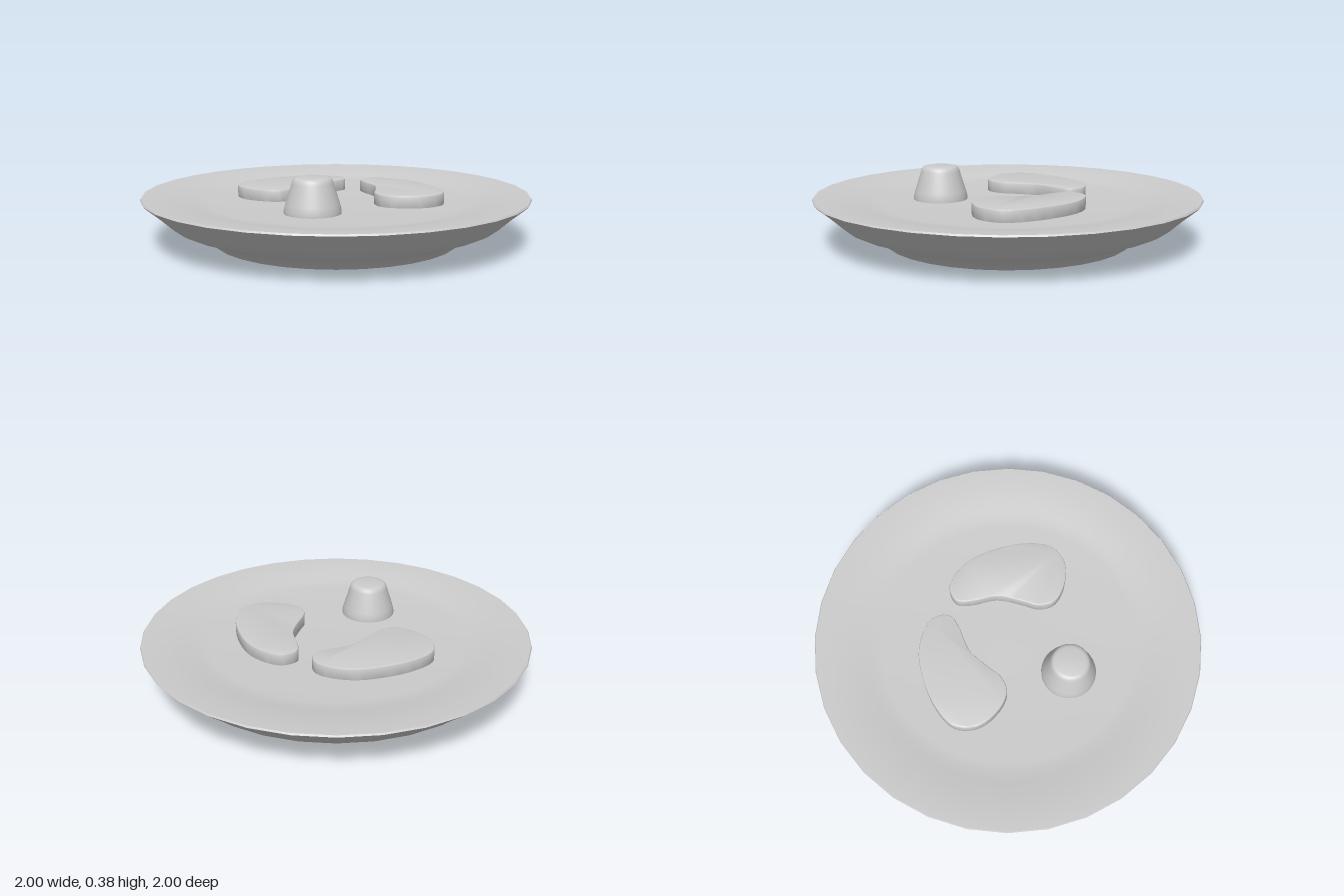
import * as THREE from 'three';
import { toCreasedNormals } from 'three/addons/utils/BufferGeometryUtils.js';

const FLOOR = 0.205;
const material = new THREE.MeshStandardMaterial({ color: 0xcccccc });

function part(name, geometry, crease = 0.7) {
  const mesh = new THREE.Mesh(toCreasedNormals(geometry, crease), material);
  mesh.name = name;
  return mesh;
}

// Turned solid from [radius, height] pairs, listed from the bottom up
function turned(profile, segments) {
  return new THREE.LatheGeometry(profile.map(([r, y]) => new THREE.Vector2(r, y)), segments);
}

// Thin curved slice with a softened edge, from an outline of [x, z] pairs
function slice(name, outline, side) {
  const curve = new THREE.CatmullRomCurve3(
    outline.map(([x, z]) => new THREE.Vector3(x * side, -z, 0)), true);
  const points = curve.getPoints(64).slice(0, -1).map((p) => new THREE.Vector2(p.x, p.y));
  const geometry = new THREE.ExtrudeGeometry(new THREE.Shape(points), {
    depth: 0.055, bevelThickness: 0.008, bevelSize: 0.008, bevelOffset: -0.008, bevelSegments: 2,
  });
  geometry.rotateX(-Math.PI / 2);
  const mesh = part(name, geometry);
  mesh.position.y = FLOOR - 0.001;
  return mesh;
}

export function createModel() {
  const model = new THREE.Group();

  // Plate: flat foot, stepped underside, flared rim and shallow well
  const plate = part('plate', turned([
    [0, 0], [0.637, 0], [0.65, 0.012], [0.69, 0.042], [0.75, 0.073], [0.83, 0.1],
    [0.855, 0.113], [0.92, 0.172], [0.985, 0.226], [1, 0.24], [0.995, 0.248], [0.975, 0.247],
    [0.9, 0.241], [0.82, 0.23], [0.75, 0.217], [0.7, 0.208], [0.66, FLOOR], [0, FLOOR],
  ], 32));
  plate.rotation.y = Math.PI / 32;
  plate.scale.set(1.004, 1, 1.004);
  model.add(plate);

  // Two kidney-shaped slices, nearly mirrored
  const outline = [
    [0.16, -0.4], [0.085, -0.385], [0.043, -0.32], [0.075, -0.25], [0.162, -0.14], [0.197, 0],
    [0.21, 0.07], [0.26, 0.135], [0.353, 0.15], [0.49, 0.1], [0.552, -0.01], [0.505, -0.15],
    [0.385, -0.295], [0.28, -0.37],
  ];
  model.add(slice('rightSlice', outline, -1));
  const leftSlice = slice('leftSlice', outline, 1);
  leftSlice.rotation.y = 0.03;
  leftSlice.position.x = 0.01;
  leftSlice.position.z = -0.008;
  model.add(leftSlice);

  // Small tapered mound with a rounded top edge
  const mound = part('mound', turned([
    [0, FLOOR], [0.141, FLOOR], [0.141, 0.222], [0.134, 0.25], [0.102, 0.352],
    [0.097, 0.368], [0.088, 0.378], [0.075, 0.381], [0, 0.381],
  ], 32));
  mound.position.set(-0.01, 0, 0.36);
  model.add(mound);

  return model;
}
